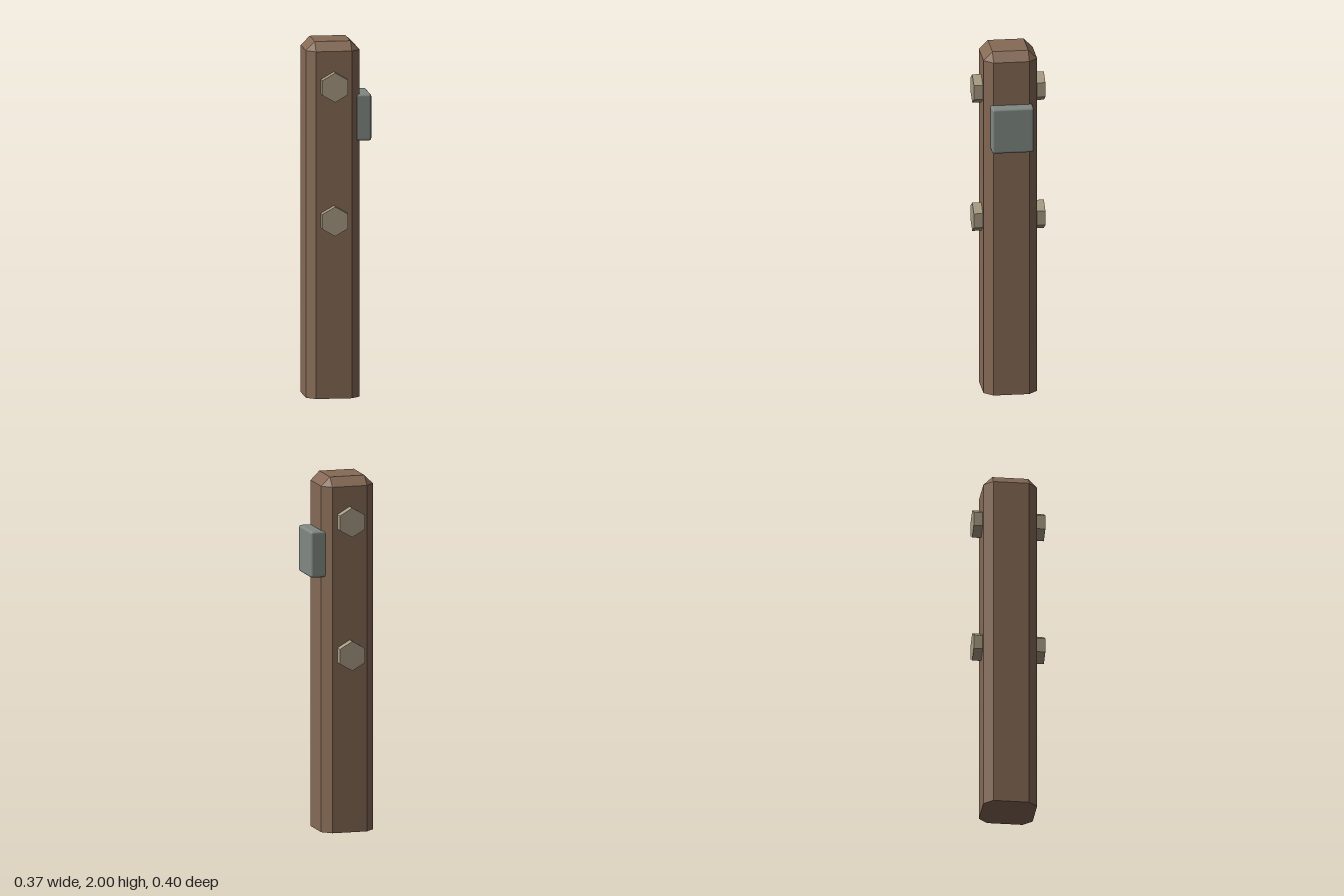
import * as THREE from 'three';
import { ConvexGeometry } from 'three/addons/geometries/ConvexGeometry.js';
import { RoundedBoxGeometry } from 'three/addons/geometries/RoundedBoxGeometry.js';

const POST_X = -0.033;

export function createModel() {
  const wood = new THREE.MeshStandardMaterial({ name: 'brown wood', color: 0x866a56 });
  const brass = new THREE.MeshStandardMaterial({ name: 'dull brass', color: 0xa89b83 });
  const steel = new THREE.MeshStandardMaterial({ name: 'grey steel', color: 0x818983 });

  const model = new THREE.Group();
  model.name = 'fencePost';
  const add = (name, geometry, material, x, y, z) => {
    const mesh = new THREE.Mesh(geometry, material);
    mesh.name = name;
    mesh.position.set(x, y, z);
    model.add(mesh);
    return mesh;
  };

  // Post: chamfered square section, narrowing to a smaller square top
  const half = 0.15, inner = 0.1, points = [];
  for (const sx of [-1, 1]) {
    for (const sz of [-1, 1]) {
      for (const y of [0, 1.95]) {
        points.push(new THREE.Vector3(sx * half, y, sz * inner));
        points.push(new THREE.Vector3(sx * inner, y, sz * half));
      }
      points.push(new THREE.Vector3(sx * inner, 2, sz * inner));
    }
  }
  add('post', new ConvexGeometry(points), wood, POST_X, 0, 0);

  // Hexagonal bolt heads on front and back, corner pointing up
  const boltGeometry = new THREE.CylinderGeometry(0.083, 0.083, 0.06, 6).toNonIndexed();
  boltGeometry.rotateX(Math.PI / 2);
  boltGeometry.computeVertexNormals();
  for (const [level, y] of [['lower', 1.002], ['upper', 1.754]]) {
    for (const [side, sz] of [['Front', 1], ['Back', -1]]) {
      add(level + side + 'Bolt', boltGeometry, brass, POST_X, y, sz * 0.17);
    }
  }

  // Latch plate let into the left side
  const plate = new RoundedBoxGeometry(0.123, 0.262, 0.234, 2, 0.014);
  add('latchPlate', plate, steel, 0.1215, 1.569, -0.001);

  return model;
}
